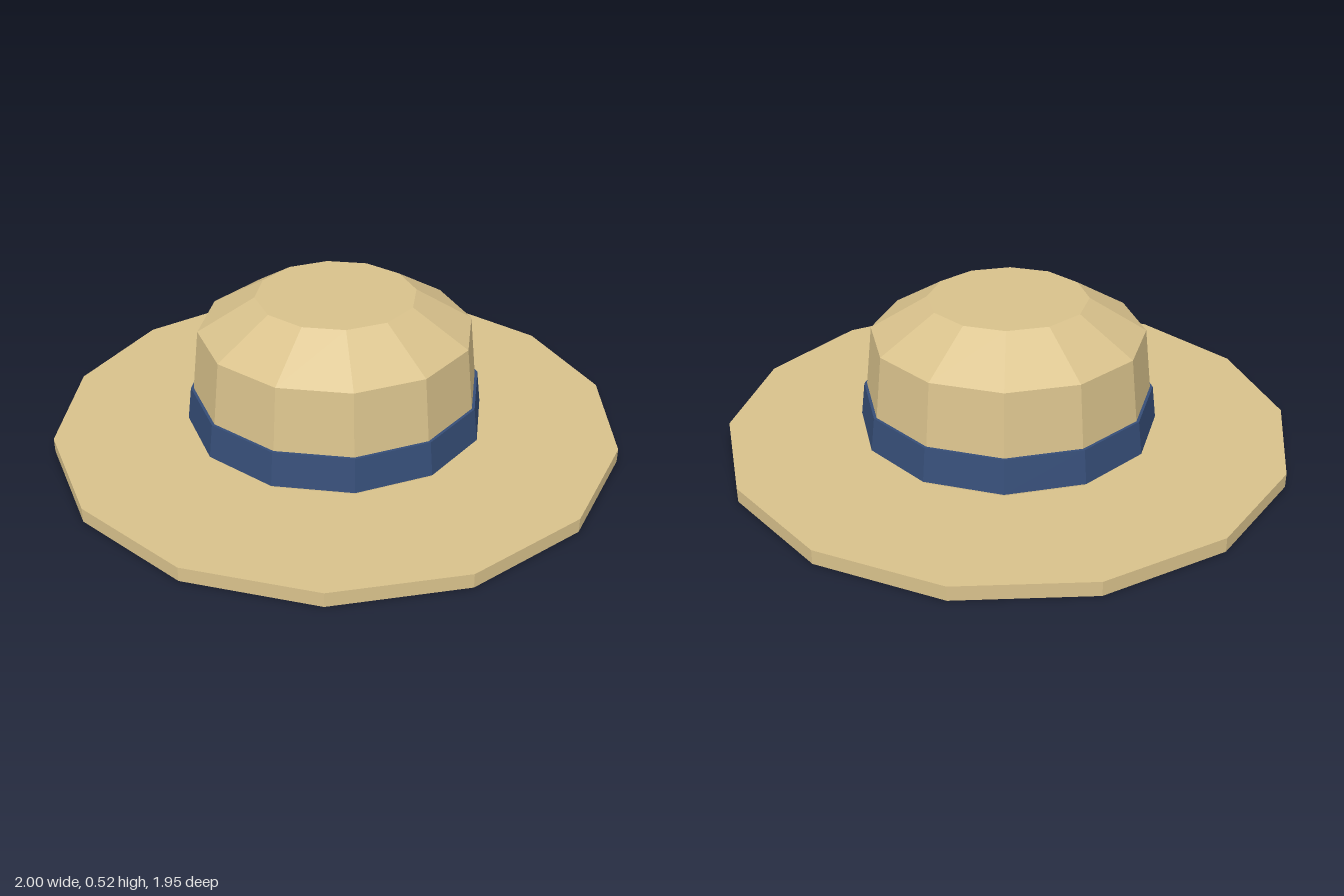
import * as THREE from 'three';

export function createModel() {
  const hat = new THREE.Group();
  hat.name = 'hat';

  const straw = new THREE.MeshStandardMaterial({ color: 0xd9c28c, flatShading: true });
  straw.name = 'straw';
  const ribbon = new THREE.MeshStandardMaterial({ color: 0x364e78, flatShading: true });
  ribbon.name = 'navy ribbon';

  // Faceted, tapered ring standing between two heights, with a corner on the x axis
  function tier(name, material, sides, topRadius, bottomRadius, bottom, top) {
    const geometry = new THREE.CylinderGeometry(
      topRadius, bottomRadius, top - bottom, sides, 1, false, Math.PI / 2);
    const mesh = new THREE.Mesh(geometry, material);
    mesh.name = name;
    mesh.position.y = (bottom + top) / 2;
    hat.add(mesh);
  }

  // Flat wide brim
  tier('brim', straw, 14, 1, 1, 0, 0.05);
  // Tapered crown and its sloping top
  tier('crown', straw, 12, 0.48, 0.52, 0.05, 0.4);
  tier('crownTop', straw, 12, 0.28, 0.48, 0.4, 0.52);
  // Ribbon around the foot of the crown
  tier('hatBand', ribbon, 12, 0.515, 0.53, 0.06, 0.18);

  return hat;
}
